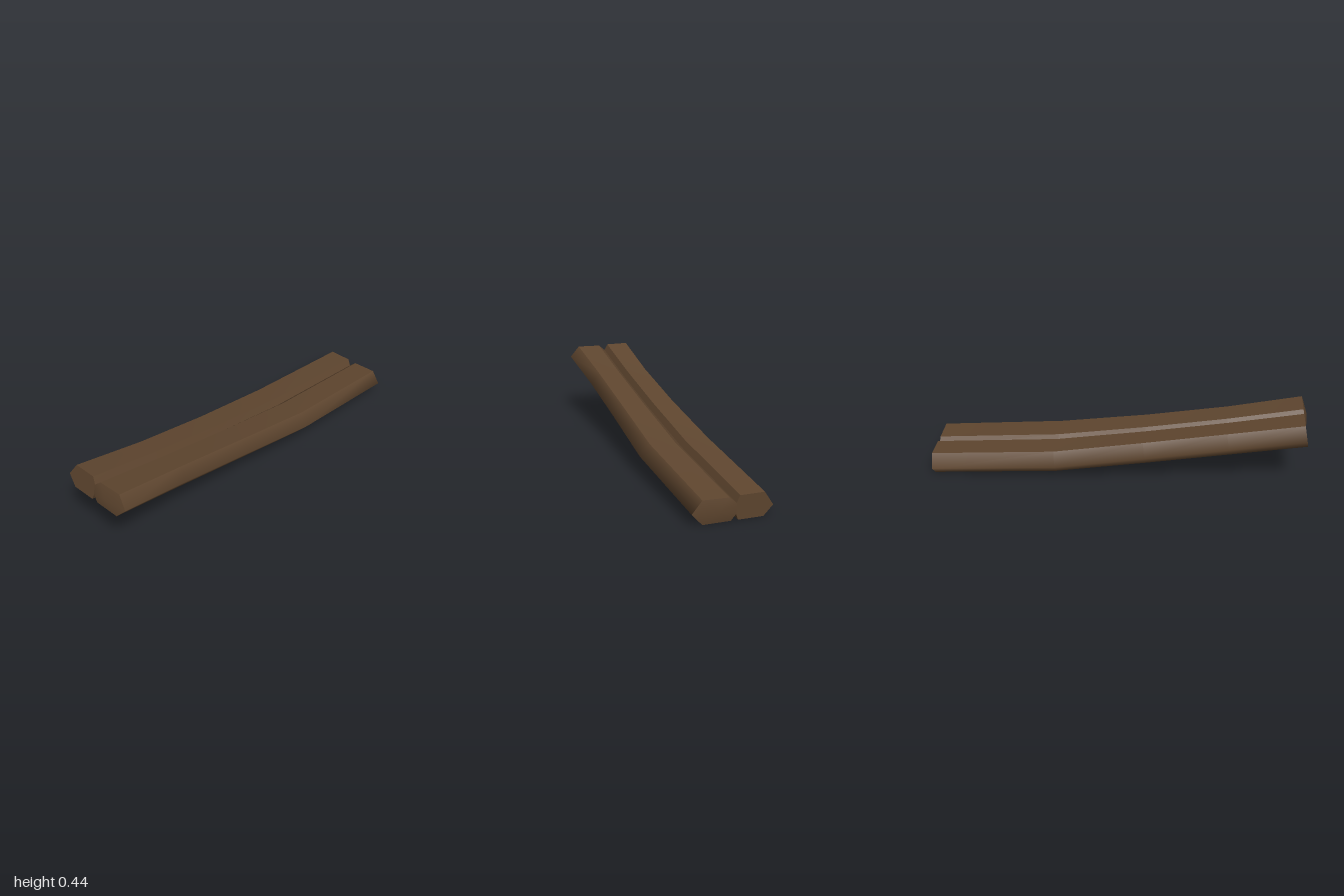
import * as THREE from 'three';

// Beam direction in plan, and the sideways direction across it
const ALONG = new THREE.Vector3(0.846, 0, -0.533);
const ACROSS = new THREE.Vector3(0.533, 0, 0.846);

// Stations: distance along, height of underside, width scale, lean of the section
const STATIONS = [
  [-1.047, 0.31, 1, 0.2],
  [-0.632, 0.225, 0.93, 0.19],
  [-0.17, 0.141, 0.95, 0.165],
  [0.335, 0.06, 1.03, 0.12],
  [1.045, 0, 1, 0.07],
];

function place(station, [n, y], push = 0) {
  const [s, base, scale, lean] = station;
  return new THREE.Vector3()
    .addScaledVector(ALONG, s + lean * (y - 0.065) + push)
    .addScaledVector(ACROSS, n * scale)
    .setY(base + y);
}

function geometryFrom(points, index) {
  const geo = new THREE.BufferGeometry().setFromPoints(points);
  geo.setIndex(index);
  geo.computeVertexNormals();
  return geo;
}

// A lengthwise strip through all stations, smooth within itself
function strip(profile) {
  const w = profile.length;
  const points = STATIONS.flatMap((st) => profile.map((p) => place(st, p)));
  const index = [];
  for (let j = 0; j < STATIONS.length - 1; j++) {
    for (let k = 0; k < w - 1; k++) {
      const a = j * w + k, b = a + 1, c = a + w, d = c + 1;
      index.push(a, b, c, b, d, c);
    }
  }
  return geometryFrom(points, index);
}

// Cut end of a log, with its middle pushed out a little
function cap(profile, station, side, bulge) {
  const count = profile.length;
  const centre = [0, 1].map((i) => profile.reduce((sum, p) => sum + p[i], 0) / count);
  const points = [place(station, centre, side * bulge), ...profile.map((p) => place(station, p))];
  const index = [];
  for (let k = 0; k < count; k++) {
    const a = 1 + k, b = 1 + ((k + 1) % count);
    index.push(0, ...(side > 0 ? [a, b] : [b, a]));
  }
  return geometryFrom(points, index);
}

// Strips run clockwise around the section: top, outer/inner sides, underside
function makeLog(name, strips, bulge, material) {
  const log = new THREE.Group();
  log.name = name;
  const add = (part, geo) => {
    const mesh = new THREE.Mesh(geo, material);
    mesh.name = part;
    log.add(mesh);
  };
  for (const [part, profile] of strips) add(part, strip(profile));
  const outline = strips.flatMap(([, profile]) => profile.slice(0, -1));
  add('lowEnd', cap(outline, STATIONS[STATIONS.length - 1], 1, bulge));
  add('highEnd', cap(outline, STATIONS[0], -1, bulge));
  return log;
}

export function createModel() {
  const wood = new THREE.MeshStandardMaterial({ color: 0x5f462f });
  wood.name = 'dark brown wood';

  const model = new THREE.Group();
  model.name = 'bentDoubleLog';

  // Narrower log at the back
  model.add(makeLog('rearLog', [
    ['top', [[-0.165, 0.129], [-0.035, 0.129]]],
    ['innerUpper', [[-0.035, 0.129], [-0.005, 0.065]]],
    ['innerLower', [[-0.005, 0.065], [-0.03, 0]]],
    ['underside', [[-0.03, 0], [-0.165, 0]]],
    ['outerSide', [[-0.165, 0], [-0.214, 0.055], [-0.165, 0.129]]],
  ], 0, wood));

  // Wider log at the front
  model.add(makeLog('frontLog', [
    ['top', [[0.022, 0.125], [0.162, 0.129]]],
    ['outerSide', [[0.162, 0.129], [0.214, 0.062], [0.157, 0]]],
    ['underside', [[0.157, 0], [0.008, 0]]],
    ['innerLower', [[0.008, 0], [-0.02, 0.035]]],
    ['innerSide', [[-0.02, 0.035], [-0.02, 0.088]]],
    ['innerUpper', [[-0.02, 0.088], [0.022, 0.125]]],
  ], 0.015, wood));

  return model;
}
